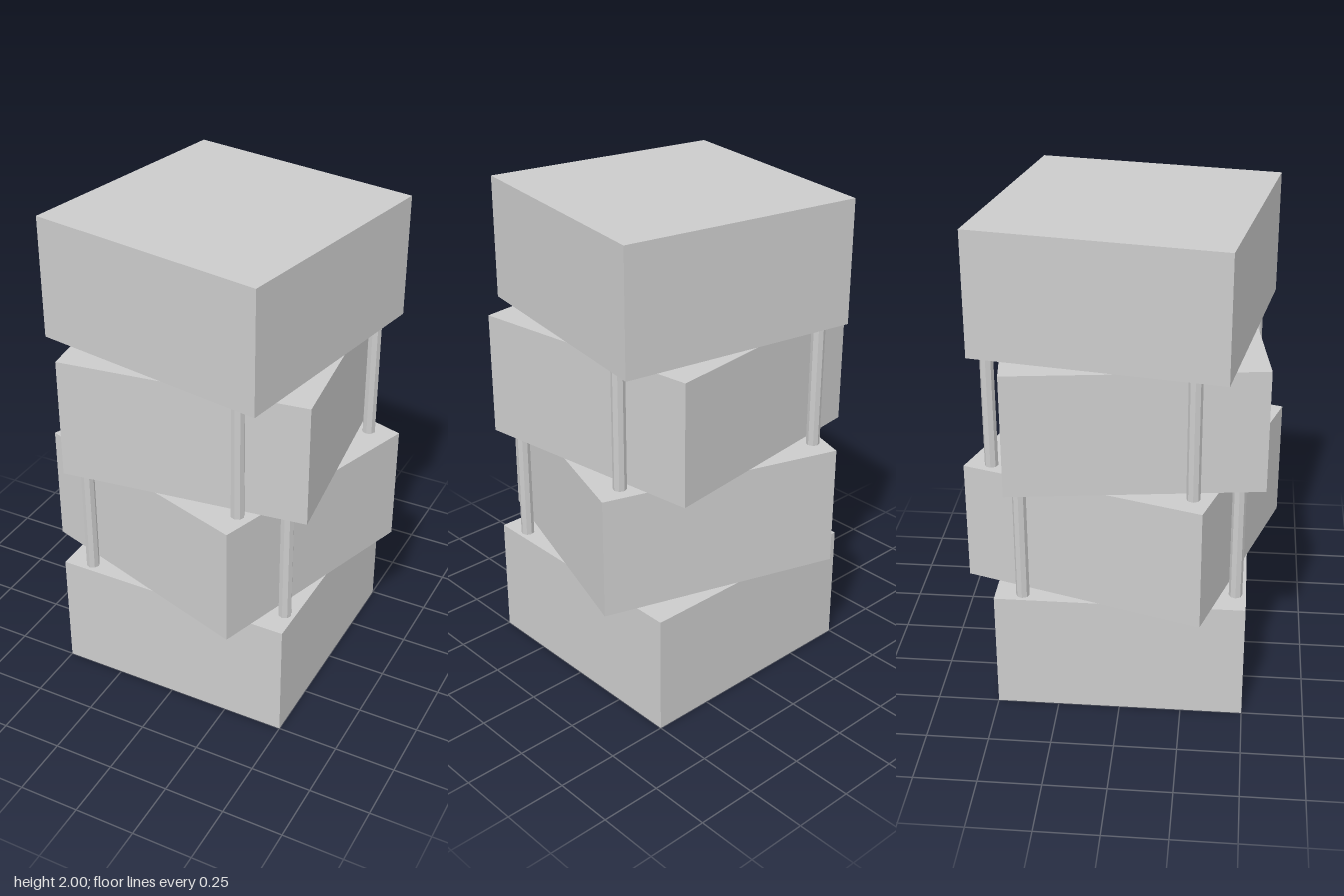
import * as THREE from 'three';

export function createModel() {
  const model = new THREE.Group();
  model.name = 'twistedTower';
  const material = new THREE.MeshStandardMaterial({ color: 0xcccccc, flatShading: true });
  const shellMaterial = new THREE.MeshStandardMaterial({
    color: 0xcccccc, flatShading: true, side: THREE.DoubleSide,
  });

  const add = (name, geometry, mat, x, y, z, degrees = 0) => {
    const mesh = new THREE.Mesh(geometry, mat);
    mesh.name = name;
    mesh.position.set(x, y, z);
    mesh.rotation.y = THREE.MathUtils.degToRad(degrees);
    model.add(mesh);
  };

  // Ground storey: a thin shell with no underside
  const block = new THREE.BoxGeometry(1, 0.5, 1);
  const shell = block.clone();
  const index = Array.from(shell.index.array);
  index.splice(18, 6); // drop the bottom face
  shell.setIndex(index);
  shell.clearGroups();
  add('groundStorey', shell, shellMaterial, 0, 0.25, 0);

  // Upper storeys, each turned about the vertical axis
  [-17.75, 7.3, -9.8].forEach((angle, i) => {
    add(`storey${i + 2}`, block, material, 0, 0.75 + i * 0.5, 0, angle);
  });

  // Columns under the overhanging corners, sunk slightly into the storeys
  const column = new THREE.CylinderGeometry(0.027, 0.027, 0.6, 8);
  const columns = [
    { y: 0.75, spots: [[0.458, 0.385], [-0.389, 0.458], [-0.458, -0.389]] },
    { y: 1.25, spots: [[0.304, 0.5], [0.51, -0.286], [-0.304, -0.52], [-0.513, 0.285]] },
  ];
  for (const { y, spots } of columns) {
    for (const [x, z] of spots) add('column', column, material, x, y, z);
  }

  return model;
}
